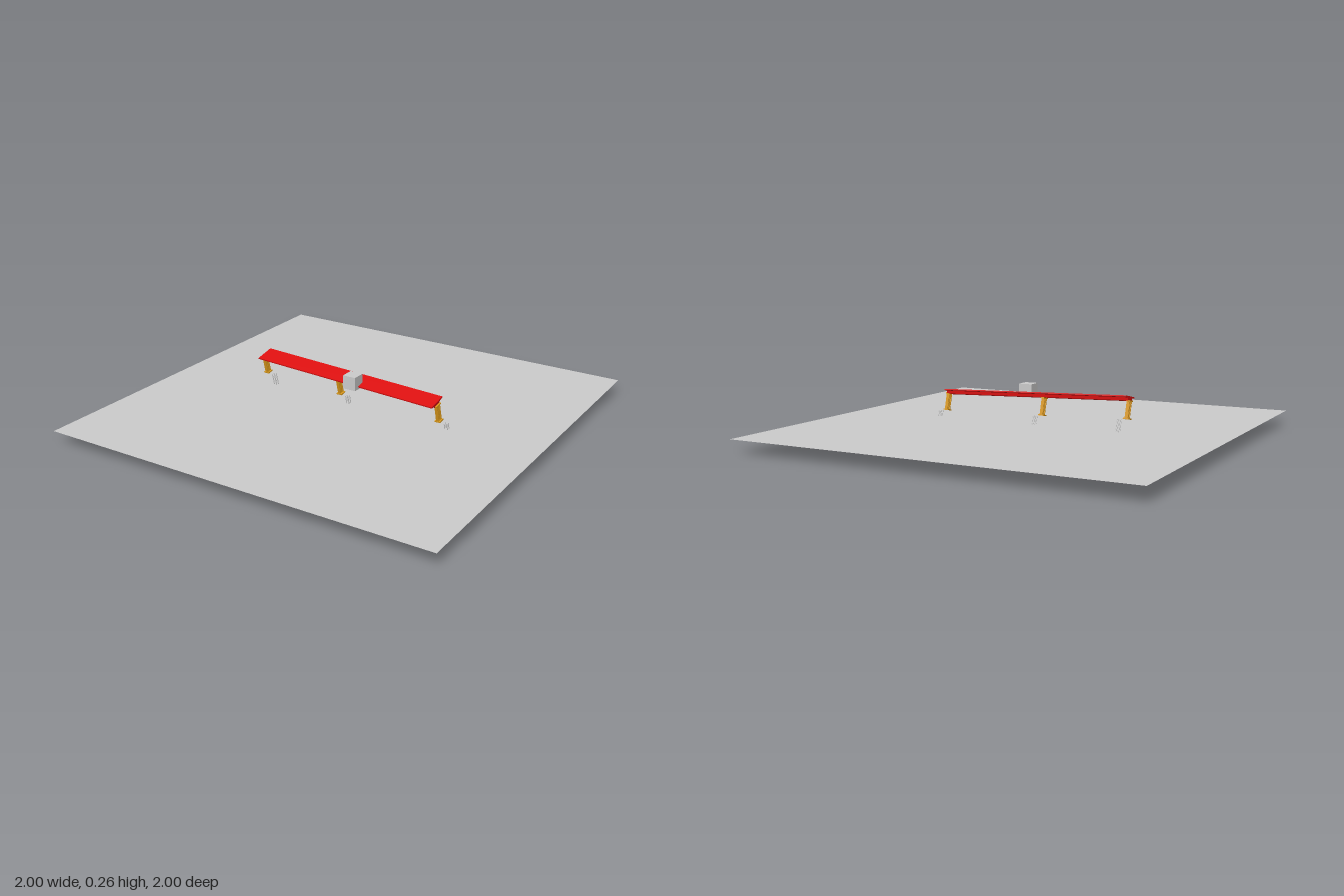
import * as THREE from 'three';

const mat = (color) => new THREE.MeshStandardMaterial({ color, flatShading: true });
const red = mat(0xdd1010), yellow = mat(0xd9981a), grey = mat(0xcccccc);

function add(parent, name, geometry, material, x = 0, y = 0, z = 0) {
  const mesh = new THREE.Mesh(geometry, material);
  mesh.name = name;
  mesh.position.set(x, y, z);
  parent.add(mesh);
  return mesh;
}

// A group whose y axis follows "up" and whose x axis stays as near "along" as it can
function leaningGroup(name, position, along, up) {
  const y = new THREE.Vector3(...up).normalize();
  const z = new THREE.Vector3(...along).cross(y).normalize();
  const x = new THREE.Vector3().crossVectors(y, z);
  const group = new THREE.Group();
  group.name = name;
  group.quaternion.setFromRotationMatrix(new THREE.Matrix4().makeBasis(x, y, z));
  group.position.set(...position);
  return group;
}

const ALONG = [1, -0.033, 0.018];

// Channel beam: wide top plate over a tapered trough, swept along x
function createBeam() {
  const beam = leaningGroup('beam', [-0.017, 0.221, 0.021], ALONG, [0.03, 1, 0.22]);
  const half = [[0.05, 0], [0.05, -0.006], [0.025, -0.007], [0.021, -0.021]];
  const outline = [...half, ...half.slice().reverse().map(([x, y]) => [-x, y])];
  const section = new THREE.Shape(outline.map(([x, y]) => new THREE.Vector2(x, y)));
  const geometry = new THREE.ExtrudeGeometry(section, { depth: 1, bevelEnabled: false });
  geometry.translate(0, 0, -0.5).rotateY(Math.PI / 2);
  add(beam, 'beamChannel', geometry, red);
  return beam;
}

// Post with head and base plates, flanges and a web; origin at the top
function createPost(position) {
  const post = leaningGroup('post', position, ALONG, [-0.04, 1, 0.2]);
  add(post, 'headPlate', new THREE.BoxGeometry(0.018, 0.006, 0.042), yellow, 0, -0.003);
  add(post, 'web', new THREE.BoxGeometry(0.014, 0.08, 0.005), yellow, 0, -0.045);
  for (const side of [-1, 1]) {
    add(post, 'flange', new THREE.BoxGeometry(0.016, 0.08, 0.004), yellow, 0, -0.045, side * 0.011);
  }
  add(post, 'basePlate', new THREE.BoxGeometry(0.03, 0.006, 0.032), yellow, 0, -0.087);
  return post;
}

// Square set of four anchor rods; origin at the middle
function createAnchors(position) {
  const anchors = leaningGroup('anchorRods', position, ALONG, [-0.05, 1, 0.2]);
  for (const x of [-0.007, 0.007]) {
    for (const z of [-0.007, 0.007]) {
      add(anchors, 'anchorRod', new THREE.CylinderGeometry(0.0022, 0.0022, 0.096, 8), grey, x, 0, z);
    }
  }
  return anchors;
}

export function createModel() {
  const model = new THREE.Group();
  model.name = 'beamOnPosts';

  // Thin ground slab
  const sheet = mat(0xcccccc);
  sheet.side = THREE.DoubleSide;
  add(model, 'groundSheet', new THREE.PlaneGeometry(2, 2).rotateX(-Math.PI / 2), sheet, 0, 0.07, 0);

  model.add(createBeam());

  // Each post has an anchor set beside and below it
  for (const [x, y, z] of [[-0.514, 0.22, 0.01], [-0.067, 0.203, 0.017], [0.481, 0.19, 0.026]]) {
    model.add(createPost([x, y, z]));
    model.add(createAnchors([x + 0.046, y - 0.138, z - 0.023]));
  }

  // Box resting against the front of the beam
  add(model, 'box', new THREE.BoxGeometry(0.067, 0.067, 0.067), grey, 0.047, 0.226, 0.066);
  return model;
}
